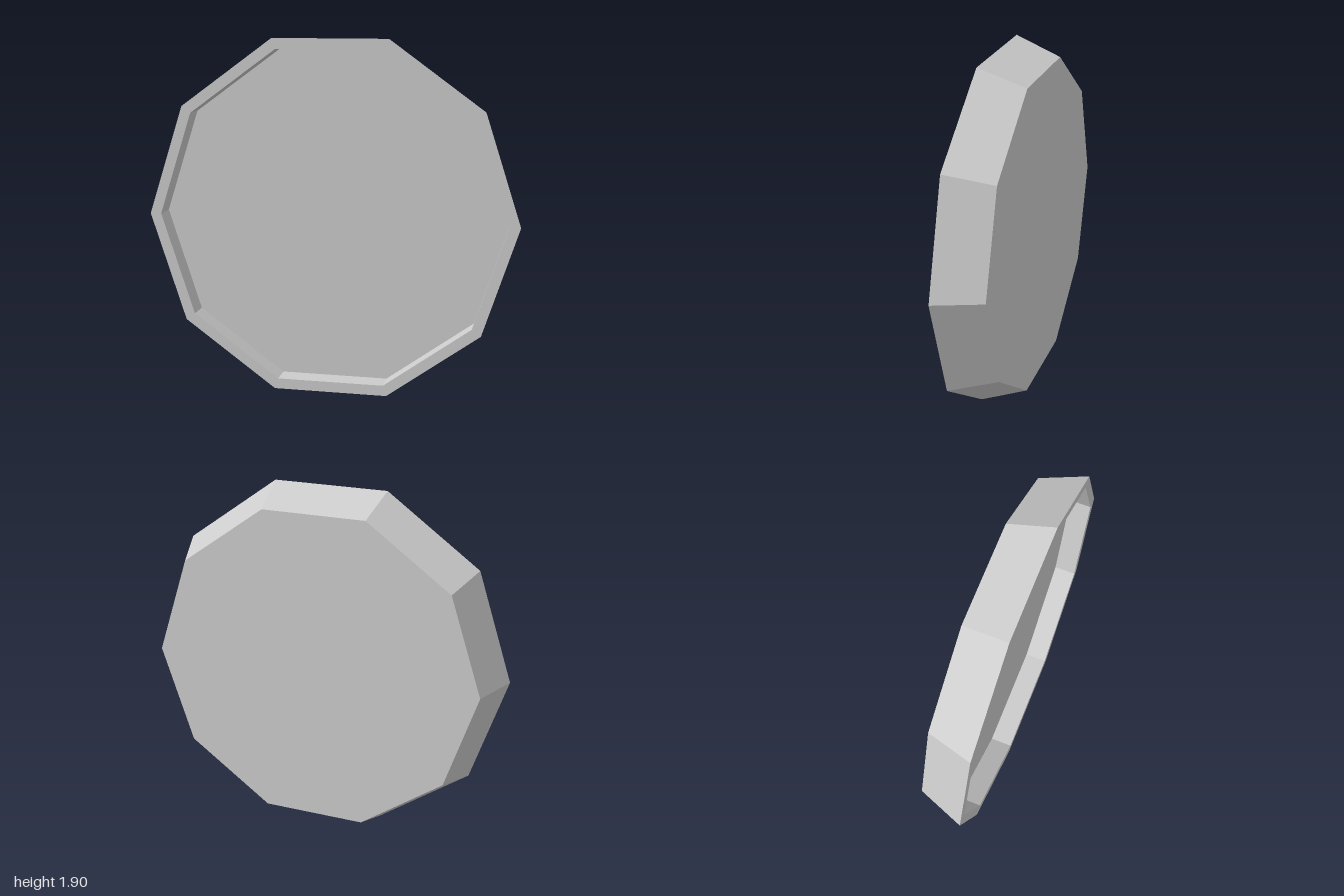
import * as THREE from 'three';

const SIDES = 10;
const CENTRE_Y = 0.951;

export function createModel() {
  const group = new THREE.Group();
  group.name = 'tray';
  const grey = new THREE.MeshStandardMaterial({ color: 0xcccccc });
  grey.name = 'light grey';

  const add = (name, geometry) => {
    const mesh = new THREE.Mesh(geometry, grey);
    mesh.name = name;
    mesh.position.y = CENTRE_Y;
    group.add(mesh);
  };

  // Faceted band of revolution around z, from [radius, z] points
  const band = (...points) => {
    const lathe = new THREE.LatheGeometry(
      points.map(([r, z]) => new THREE.Vector2(r, z)), SIDES, Math.PI / 2);
    lathe.rotateX(Math.PI / 2);
    const flat = lathe.toNonIndexed();
    flat.computeVertexNormals();
    return flat;
  };

  // Tapered outer wall, flat front rim and straight inner wall
  add('rim', band([0.905, -0.125], [1, 0.125], [0.94, 0.125], [0.94, 0.005]));

  // Recessed floor
  add('floor', new THREE.CircleGeometry(0.94, SIDES).translate(0, 0, 0.005));

  // Flat back
  add('back', new THREE.CircleGeometry(0.905, SIDES).rotateY(Math.PI).translate(0, 0, -0.125));

  return group;
}
